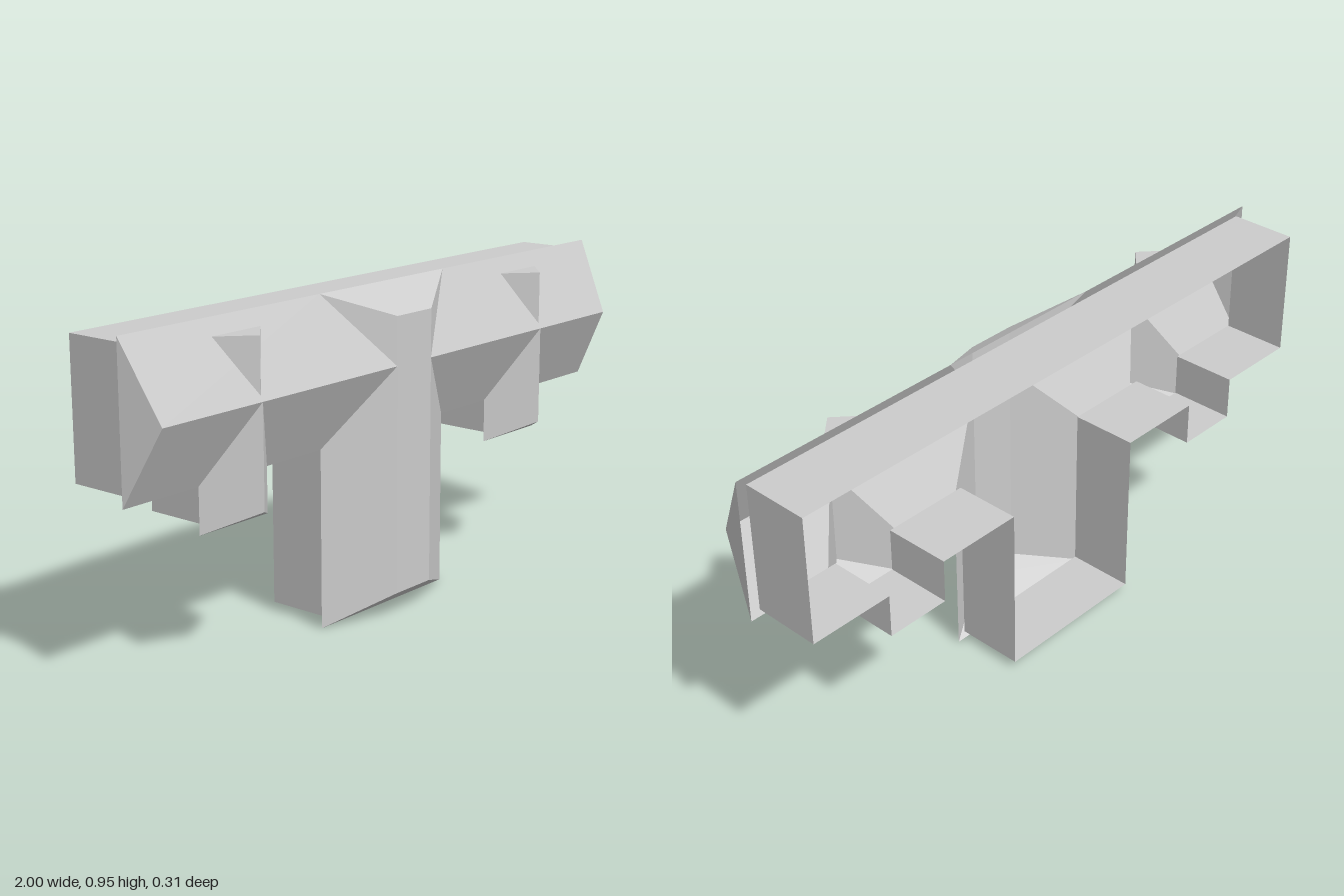
import * as THREE from 'three';

const EAVE = 0.046, RIDGE = 0.157, BACK = -0.157;
const material = new THREE.MeshStandardMaterial({ color: 0xcccccc, flatShading: true, side: THREE.DoubleSide });

// Mesh from convex polygons, each fanned into triangles
function polyMesh(name, polygons) {
  const pos = [];
  for (const p of polygons)
    for (let i = 1; i < p.length - 1; i++) pos.push(...p[0], ...p[i], ...p[i + 1]);
  const geo = new THREE.BufferGeometry();
  geo.setAttribute('position', new THREE.Float32BufferAttribute(pos, 3));
  geo.computeVertexNormals();
  const mesh = new THREE.Mesh(geo, material);
  mesh.name = name;
  return mesh;
}

// Orders a roof face so that it looks outward (+z)
function outward(p) {
  let area = 0;
  p.forEach(([x, y], i) => {
    const [u, v] = p[(i + 1) % p.length];
    area += x * v - u * y;
  });
  return area < 0 ? [...p].reverse() : p;
}

const e = (x, y) => [x, y, EAVE];
const r = (x, y) => [x, y, RIDGE];
const flip = (p) => p.map(([x, y, z]) => [-x, y, z]);
const bothSides = (faces) => [...faces, ...faces.map(flip)].map(outward);

export function createModel() {
  const group = new THREE.Group();

  // Long hipped roof, cut along the valleys of the wings
  group.add(polyMesh('mainRoof', bothSides([
    [e(0.27, 0.95), e(1, 0.95), r(0.965, 0.735), r(0.075, 0.735)],
    [r(0.075, 0.735), r(0.615, 0.735), e(0.485, 0.52), e(0.27, 0.52)],
    [r(0.615, 0.735), r(0.965, 0.735), e(1, 0.52), e(0.74, 0.52)],
    [r(0.965, 0.735), e(1, 0.95), e(1, 0.52)],
  ])));

  // Flat-topped roof of the centre wing
  group.add(polyMesh('centreRoof', [
    ...bothSides([
      [r(0.075, 0.735), e(0.27, 0.52), e(0.27, 0.002), r(0.075, 0.077)],
      [r(0.075, 0.875), r(0.075, 0.735), e(0.27, 0.95)],
    ]),
    ...[
      [r(-0.075, 0.077), r(0.075, 0.077), r(0.075, 0.875), r(-0.075, 0.875)],
      [r(-0.075, 0.875), r(0.075, 0.875), e(0.27, 0.95), e(-0.27, 0.95)],
      [r(-0.075, 0.077), r(0.075, 0.077), e(0.27, 0.002), e(-0.27, 0.002)],
    ].map(outward),
  ]));

  // Hipped roofs of the two small wings
  group.add(polyMesh('smallWingRoofs', bothSides([
    [r(0.615, 0.735), r(0.615, 0.445), e(0.485, 0.39), e(0.485, 0.52)],
    [r(0.615, 0.735), r(0.615, 0.445), e(0.74, 0.39), e(0.74, 0.52)],
    [r(0.615, 0.445), e(0.485, 0.39), e(0.74, 0.39)],
  ])));

  // Small gabled dormers on the upper slope
  for (const side of [1, -1]) {
    const apex = [side * 0.615, 0.905, 0.15], foot = [side * 0.615, 0.75, 0.15];
    const a = [side * 0.615 - 0.09, 0.905, 0.068], b = [side * 0.615 + 0.09, 0.905, 0.068];
    group.add(polyMesh(side > 0 ? 'leftDormer' : 'rightDormer', [
      [apex, a, foot], [apex, foot, b], [apex, b, a],
    ]));
  }

  // Thin walls following the inset plan, open at the back
  const half = [
    [0.245, 0.027], [0.245, 0.542], [0.515, 0.542], [0.515, 0.41],
    [0.712, 0.41], [0.712, 0.542], [0.97, 0.542], [0.97, 0.927],
  ];
  const plan = [...half, ...half.map(([x, y]) => [-x, y]).reverse()];
  group.add(polyMesh('walls', plan.map(([x, y], i) => {
    const [u, v] = plan[(i + 1) % plan.length];
    return [[x, y, BACK], [u, v, BACK], [u, v, EAVE], [x, y, EAVE]];
  })));

  return group;
}
